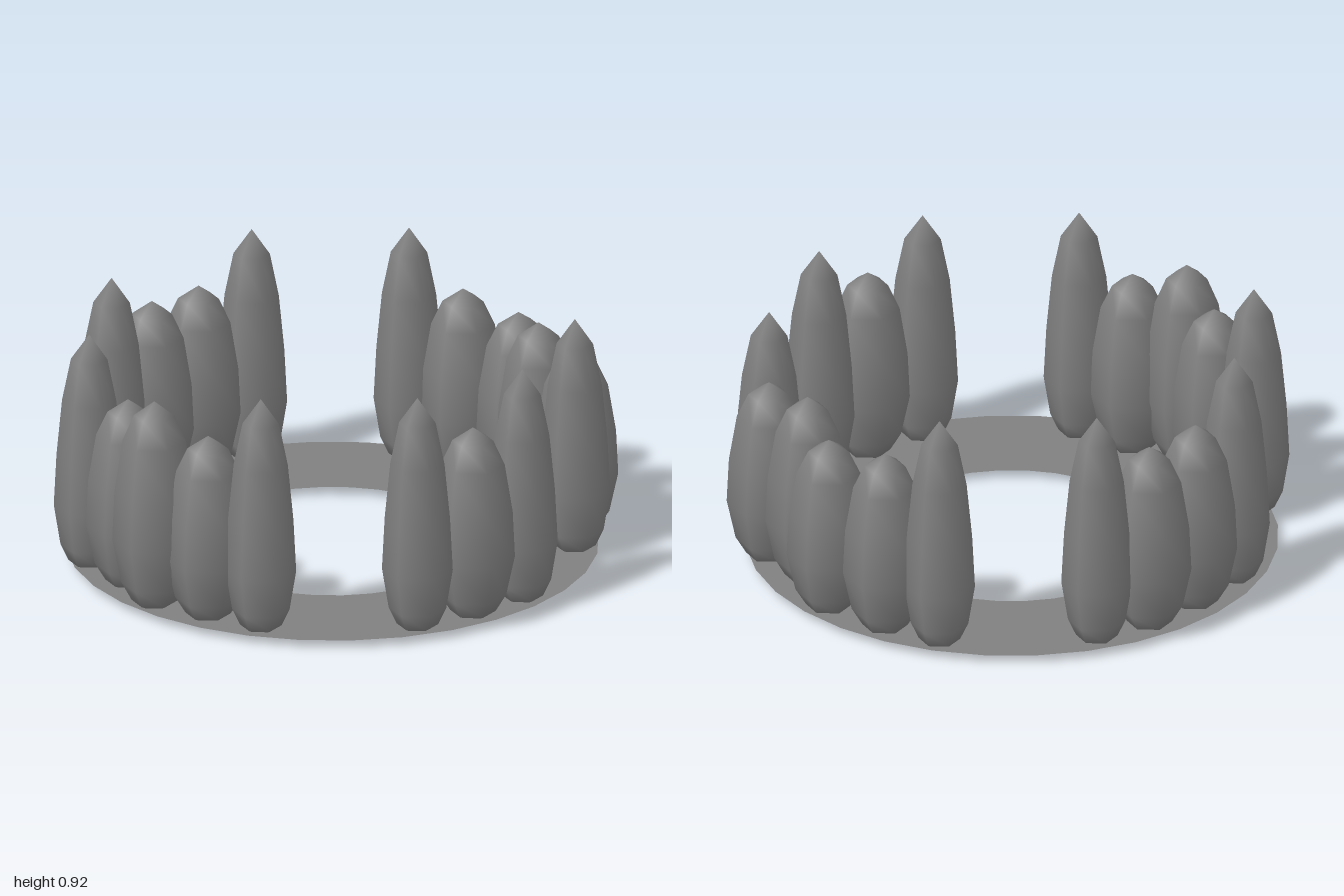
import * as THREE from 'three';
import { mergeVertices } from 'three/addons/utils/BufferGeometryUtils.js';

// Radius / height profiles, bottom to tip
const TALL = [[0, 0], [0.075, 0.038], [0.104, 0.1], [0.128, 0.25], [0.118, 0.45], [0.098, 0.66], [0.066, 0.82], [0, 0.915]];
const ROUND = [[0, 0], [0.082, 0.038], [0.12, 0.1], [0.152, 0.25], [0.144, 0.42], [0.115, 0.6], [0.074, 0.69], [0, 0.74]];

// Clumps of trees: [x, z, height]; the first and last of each are tall and pointed
const CLUMPS = {
  back: [[-0.552, -0.665], [-0.333, -0.778, 0.745], [-0.11, -0.847, 0.74], [0.111, -0.86]],
  left: [[0.625, -0.619], [0.747, -0.428, 0.725], [0.851, -0.19, 0.7], [0.81, 0.053, 0.755],
    [0.851, 0.275, 0.725], [0.763, 0.44]],
  front: [[0.376, 0.789], [0.149, 0.844, 0.75], [-0.087, 0.868]],
  right: [[-0.597, 0.625], [-0.714, 0.434, 0.725], [-0.838, 0.249, 0.815], [-0.83, 0.021, 0.74], [-0.87, -0.211]],
};

// Six-sided turned shape, smooth across the seam and the tips
function treeGeometry(profile) {
  const geometry = new THREE.LatheGeometry(profile.map(([r, y]) => new THREE.Vector2(r, y)), 6);
  geometry.deleteAttribute('uv');
  geometry.deleteAttribute('normal');
  const merged = mergeVertices(geometry);
  merged.computeVertexNormals();
  return merged;
}

export function createModel() {
  const model = new THREE.Group();
  model.name = 'treeRing';
  const material = new THREE.MeshStandardMaterial({ color: 0x808080 });

  // Flat ground ring
  const ground = new THREE.Mesh(
    new THREE.RingGeometry(0.525, 0.963, 32).rotateX(-Math.PI / 2),
    new THREE.MeshStandardMaterial({ color: 0x808080, side: THREE.DoubleSide }));
  ground.name = 'groundRing';
  ground.position.set(0.005, 0.03, 0);
  model.add(ground);

  // Trees, the round ones varying in height
  const tallGeometry = treeGeometry(TALL);
  const roundGeometry = treeGeometry(ROUND);

  for (const [side, trees] of Object.entries(CLUMPS)) {
    const clump = new THREE.Group();
    clump.name = `${side}Trees`;
    for (const [x, z, height] of trees) {
      const tree = new THREE.Mesh(height ? roundGeometry : tallGeometry, material);
      tree.name = height ? 'roundTree' : 'tallTree';
      tree.position.set(x, 0, z);
      if (height) tree.scale.y = height / 0.74;
      clump.add(tree);
    }
    model.add(clump);
  }
  return model;
}
